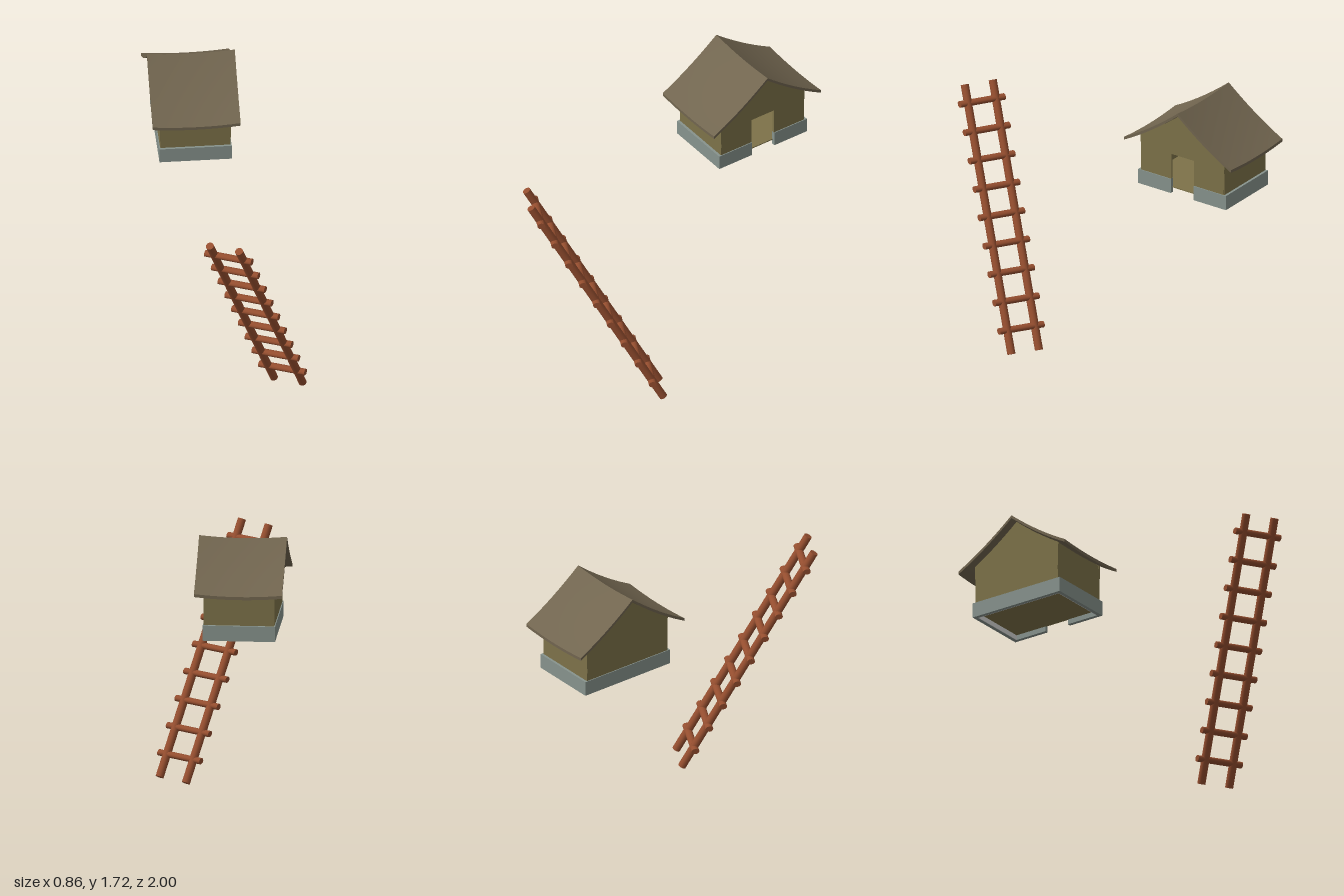
import * as THREE from 'three';

const mat = (name, color, side = THREE.FrontSide) => {
  const m = new THREE.MeshStandardMaterial({ color, side });
  m.name = name;
  return m;
};

export function createModel() {
  const roofMat = mat('weathered roof', 0x71654f);
  const wallMat = mat('olive wall', 0x7d7249, THREE.DoubleSide);
  const stoneMat = mat('grey stone', 0x87938d);
  const paleMat = mat('pale lining', 0xd6d6d4);
  const woodMat = mat('red wood', 0x954e2f);

  const model = new THREE.Group();
  const house = new THREE.Group();
  house.name = 'house';
  house.position.set(-0.175, 0, -0.617);
  house.rotation.y = 0.014;
  const ladder = new THREE.Group();
  ladder.name = 'ladder';
  model.add(house, ladder);

  const add = (parent, name, geo, material) => {
    const mesh = new THREE.Mesh(geo, material);
    mesh.name = name;
    parent.add(mesh);
    return mesh;
  };
  const box = (name, w, h, d, x, y, z, material) =>
    add(house, name, new THREE.BoxGeometry(w, h, d), material).position.set(x, y, z);

  // Roof: two slabs curving outwards from the ridge and sagging mid-length
  const roofY = (d) => 1.72 - 0.82 * d + 0.39 * d * d;
  for (const side of [0, 1]) {
    const geo = new THREE.BoxGeometry(0.51, 0.018, 0.38, 10, 1, 10);
    geo.translate(0, -0.009, 0.19);
    const p = geo.attributes.position;
    for (let i = 0; i < p.count; i++) {
      const u = p.getX(i) / 0.255;
      p.setY(i, p.getY(i) + roofY(p.getZ(i)) - 0.013 * (1 - u * u));
    }
    geo.computeVertexNormals();
    add(house, side ? 'backRoofSlope' : 'frontRoofSlope', geo, roofMat).rotation.y = side * Math.PI;
  }

  // Gable walls: the outline follows the roof, with a doorway on one end
  const wallX = 0.205, wallZ = 0.298, thick = 0.012, floorY = 1.2;
  const gable = (door) => {
    const s = new THREE.Shape();
    s.moveTo(-0.29, floorY);
    if (door) {
      s.lineTo(-0.08, floorY);
      s.lineTo(-0.08, 1.42);
      s.lineTo(0.08, 1.42);
      s.lineTo(0.08, floorY);
    }
    s.lineTo(0.29, floorY);
    for (let i = 8; i >= -8; i--) {
      const d = (i / 8) * wallZ;
      s.lineTo(d, roofY(Math.abs(d)) - 0.016);
    }
    s.closePath();
    const geo = new THREE.ExtrudeGeometry(s, { depth: thick, bevelEnabled: false });
    return geo.rotateY(Math.PI / 2);
  };
  add(house, 'doorGable', gable(true), wallMat).position.x = wallX - thick;
  add(house, 'plainGable', gable(false), wallMat).position.x = -wallX;

  // Long walls, floor and stone base
  for (const s of [-1, 1]) {
    box('longWall', wallX * 2 - 0.002, 0.285, thick, 0, floorY + 0.1425, s * (wallZ - 0.008), wallMat);
    box('longBase', 0.42, 0.09, 0.022, 0, 1.215, s * 0.3, stoneMat);
    box('doorSideBase', 0.022, 0.09, 0.209, 0.199, 1.215, s * 0.1845, stoneMat);
    box('longBaseLining', 0.376, 0.029, 0.004, 0, 1.185, s * 0.287, paleMat);
  }
  box('plainEndBase', 0.022, 0.09, 0.578, -0.199, 1.215, 0, stoneMat);
  box('plainEndLining', 0.004, 0.029, 0.57, -0.186, 1.185, 0, paleMat);
  box('floor', 0.386, 0.006, 0.575, 0, floorY + 0.003, 0, wallMat);

  // Round bar between two points, optionally flattened
  const up = new THREE.Vector3(0, 1, 0);
  const bar = (name, a, b, r, flat = 1) => {
    const dir = b.clone().sub(a);
    const geo = new THREE.CylinderGeometry(r, r, dir.length(), 12);
    geo.applyQuaternion(new THREE.Quaternion().setFromUnitVectors(up, dir.clone().normalize()));
    geo.scale(1, flat, 1);
    const mesh = add(ladder, name, geo, woodMat);
    mesh.position.copy(a).add(b).multiplyScalar(0.5);
  };

  // Ladder: two rails and nine overhanging rungs
  const V = (x, y, z) => new THREE.Vector3(x, y, z);
  const a0 = V(0.24, 0.013, 0.255), a1 = V(-0.18, 1.4, 0.895);
  const b0 = V(0.4, 0.025, 0.335), b1 = V(-0.017, 1.41, 0.976);
  bar('rightRail', a0, a1, 0.024);
  bar('leftRail', b0, b1, 0.024);
  for (let i = 0; i < 9; i++) {
    const t = 0.09 + (i / 8) * 0.842;
    const a = a0.clone().lerp(a1, t), b = b0.clone().lerp(b1, t);
    const over = b.clone().sub(a).multiplyScalar(0.3);
    bar('rung', a.sub(over), b.add(over), 0.023, 0.8);
  }
  return model;
}
